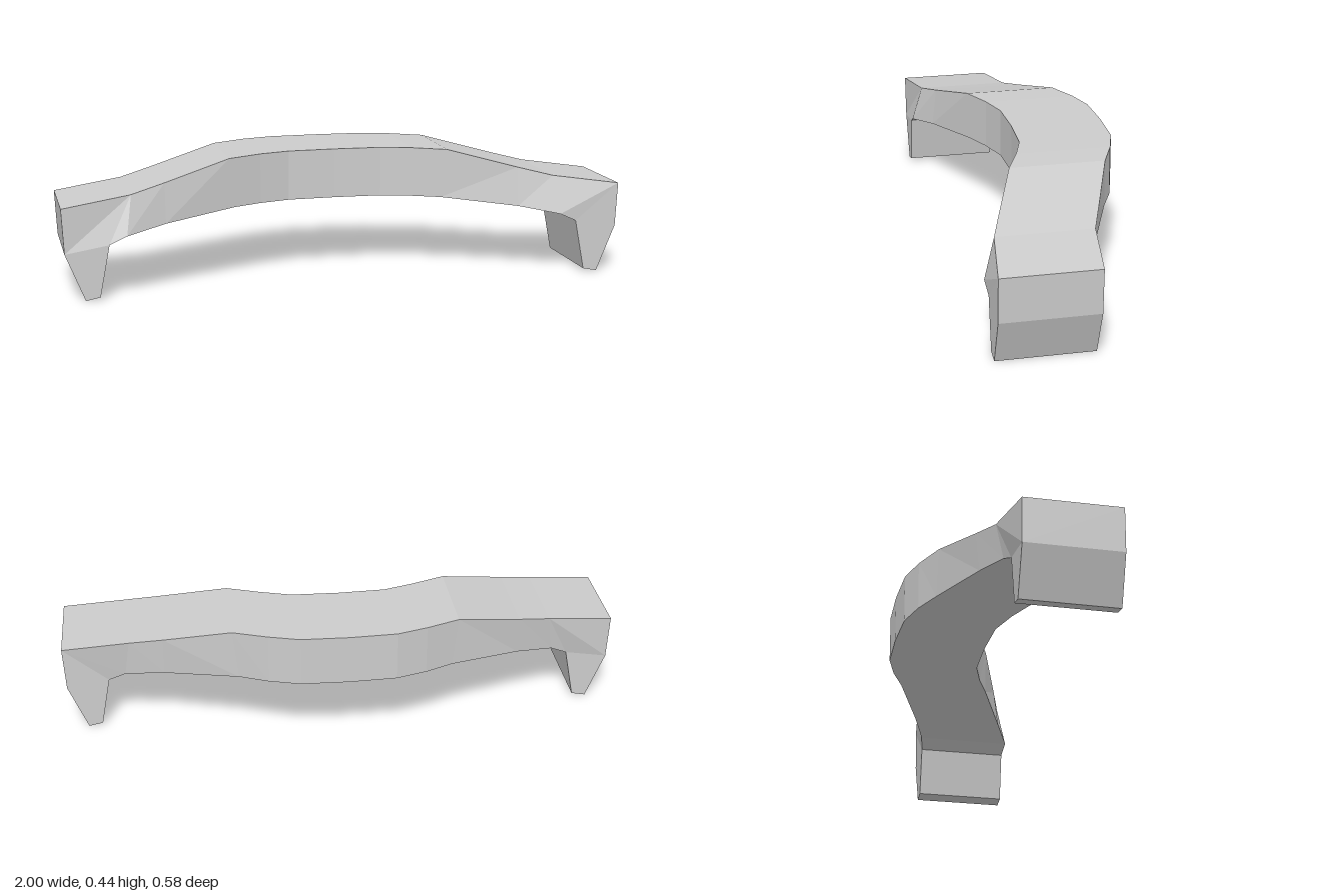
import * as THREE from 'three';

// Half-beam stations from the middle outward: [x, y, front z, back z]
const TOP = [
  [0, 0.445, 0.04, -0.293], [0.17, 0.445, 0.046, -0.287], [0.28, 0.445, 0.08, -0.255],
  [0.40, 0.442, 0.13, -0.205], [0.64, 0.382, 0.213, -0.122], [0.76, 0.354, 0.253, -0.08],
];
const BOTTOM = [
  [0, 0.267, 0.04, -0.293], [0.17, 0.267, 0.046, -0.287], [0.28, 0.267, 0.08, -0.255],
  [0.38, 0.266, 0.123, -0.21], [0.64, 0.242, 0.23, -0.11], [0.78, 0.218, 0.29, -0.06],
];
// Leg outline, counter-clockwise from the beam's underside to its top
const LEG = [
  BOTTOM[5], [0.84, 0.19, 0.287, -0.048], [0.875, 0.01, 0.287, -0.048],
  [0.925, 0, 0.287, -0.048], [0.992, 0.165, 0.287, -0.048],
  [1, 0.322, 0.287, -0.048], TOP[5],
];

const front = (p) => [p[0], p[1], p[2]];
const back = (p) => [p[0], p[1], p[3]];
const mirror = (p) => [-p[0], p[1], p[2], p[3]];

// Front and back walls of a counter-clockwise outline, plus the rim edges not left open
function addSlab(out, pts, openEdges) {
  const flat = pts.map((p) => new THREE.Vector2(p[0], p[1]));
  for (let [a, b, c] of THREE.ShapeUtils.triangulateShape(flat, [])) {
    if (THREE.ShapeUtils.area([flat[a], flat[b], flat[c]]) < 0) [b, c] = [c, b];
    out.push(front(pts[a]), front(pts[b]), front(pts[c]));
    out.push(back(pts[a]), back(pts[c]), back(pts[b]));
  }
  pts.forEach((a, i) => {
    if (openEdges.includes(i)) return;
    const b = pts[(i + 1) % pts.length];
    out.push(front(a), back(a), back(b), front(a), back(b), front(b));
  });
}

function makeMesh(name, triangles) {
  const geometry = new THREE.BufferGeometry();
  geometry.setAttribute('position', new THREE.Float32BufferAttribute(triangles.flat(), 3));
  geometry.computeVertexNormals();
  const mesh = new THREE.Mesh(geometry,
    new THREE.MeshStandardMaterial({ color: 0xcccccc, flatShading: true }));
  mesh.name = name;
  return mesh;
}

export function createModel() {
  const group = new THREE.Group();
  group.name = 'curvedBracket';

  // Bowed beam
  const whole = (half) => [...half.slice(1).reverse().map(mirror), ...half];
  const top = whole(TOP), bottom = whole(BOTTOM);
  const beam = [];
  for (let i = 0; i < top.length - 1; i++) {
    addSlab(beam, [bottom[i], bottom[i + 1], top[i + 1], top[i]], [1, 3]);
  }
  group.add(makeMesh('beam', beam));

  // Tapered end legs
  const left = [], right = [];
  addSlab(left, LEG, [LEG.length - 1]);
  addSlab(right, LEG.map(mirror).reverse(), [LEG.length - 1]);
  group.add(makeMesh('leftLeg', left), makeMesh('rightLeg', right));
  return group;
}
